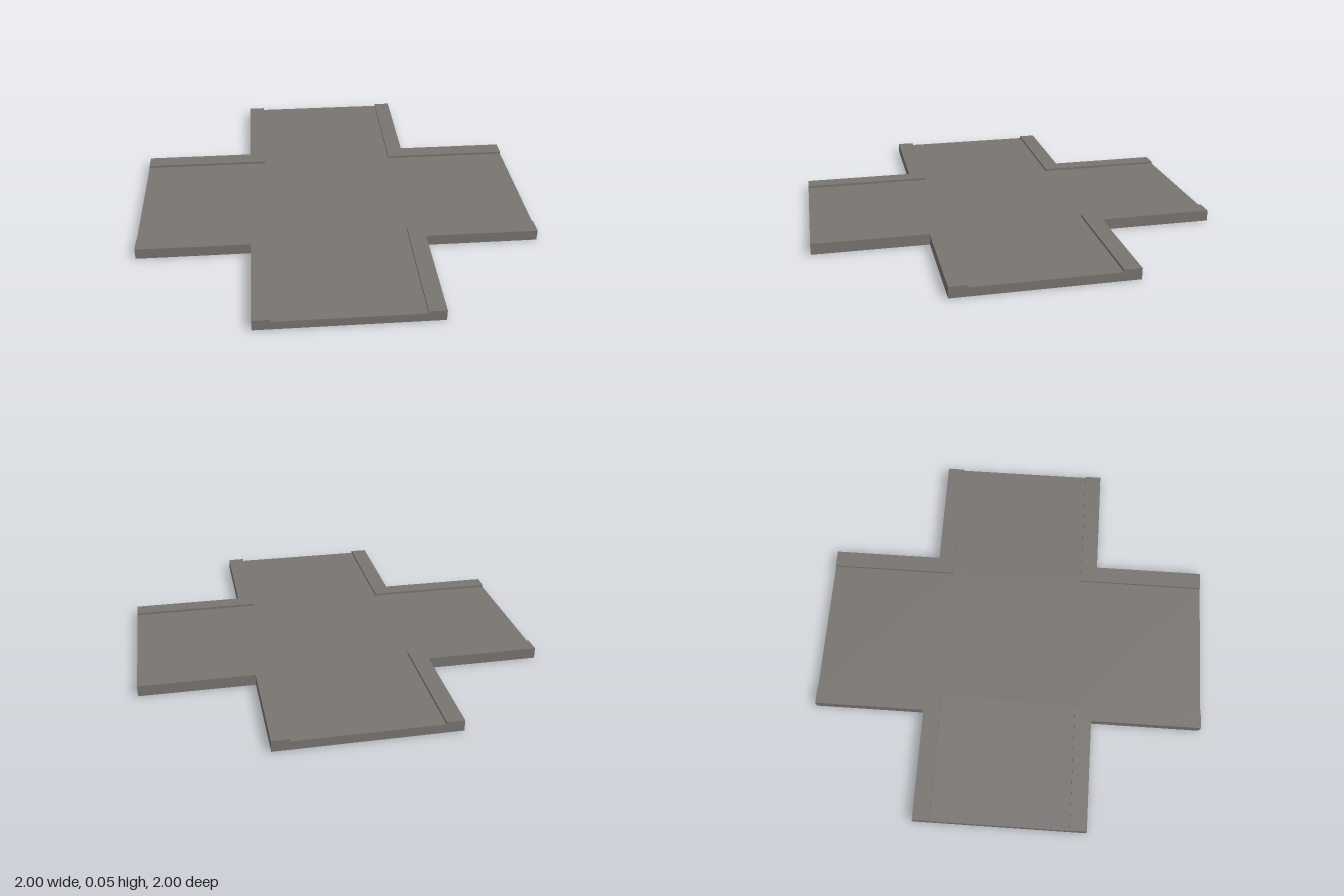
import * as THREE from 'three';

const ROAD = 0.35, EDGE = 0.435, END = 1;        // half widths and arm length
const ROAD_Y = 0.043, KERB_Y = 0.055;            // surface heights

// Horizontal sheet facing up, from [x, z] points
function sheet(points, y) {
  const shape = new THREE.Shape(points.map(([x, z]) => new THREE.Vector2(x, -z)));
  return new THREE.ShapeGeometry(shape).rotateX(-Math.PI / 2).translate(0, y, 0);
}

// Upright strip following [x, z] points, facing right of the path's reverse
function wall(points, y0, y1) {
  const pos = [];
  for (let i = 0; i < points.length - 1; i++) {
    const [ax, az] = points[i], [bx, bz] = points[i + 1];
    pos.push(ax, y0, az, bx, y0, bz, bx, y1, bz, ax, y0, az, bx, y1, bz, ax, y1, az);
  }
  const g = new THREE.BufferGeometry();
  g.setAttribute('position', new THREE.Float32BufferAttribute(pos, 3));
  g.computeVertexNormals();
  return g;
}

export function createModel() {
  const model = new THREE.Group();
  model.name = 'crossroadTile';
  const asphalt = new THREE.MeshStandardMaterial({ color: 0x787470 });
  asphalt.name = 'warmGrey';
  asphalt.side = THREE.DoubleSide; // hollow shell, open underneath

  const add = (parent, name, geometry) => {
    const mesh = new THREE.Mesh(geometry, asphalt);
    mesh.name = name;
    parent.add(mesh);
  };

  // Cross-shaped road surface
  add(model, 'roadSurface', sheet([
    [ROAD, END], [ROAD, ROAD], [END, ROAD], [END, -ROAD], [ROAD, -ROAD], [ROAD, -END],
    [-ROAD, -END], [-ROAD, -ROAD], [-END, -ROAD], [-END, ROAD], [-ROAD, ROAD], [-ROAD, END],
  ], ROAD_Y));

  // One road end and one raised corner kerb per quarter turn
  const outer = [[ROAD, END], [EDGE, END], [EDGE, EDGE], [END, EDGE], [END, ROAD]];
  const inner = [[END, ROAD], [ROAD, ROAD], [ROAD, END]];
  for (let i = 0; i < 4; i++) {
    const quarter = new THREE.Group();
    quarter.name = 'quarter' + (i + 1);
    quarter.rotation.y = i * Math.PI / 2;
    add(quarter, 'roadEnd', wall([[-ROAD, END], [ROAD, END]], 0, ROAD_Y));
    add(quarter, 'kerbTop', sheet([...outer, [ROAD, ROAD]], KERB_Y));
    add(quarter, 'kerbSkirt', wall(outer, 0, KERB_Y));
    add(quarter, 'kerbStep', wall(inner, ROAD_Y, KERB_Y));
    model.add(quarter);
  }
  return model;
}
